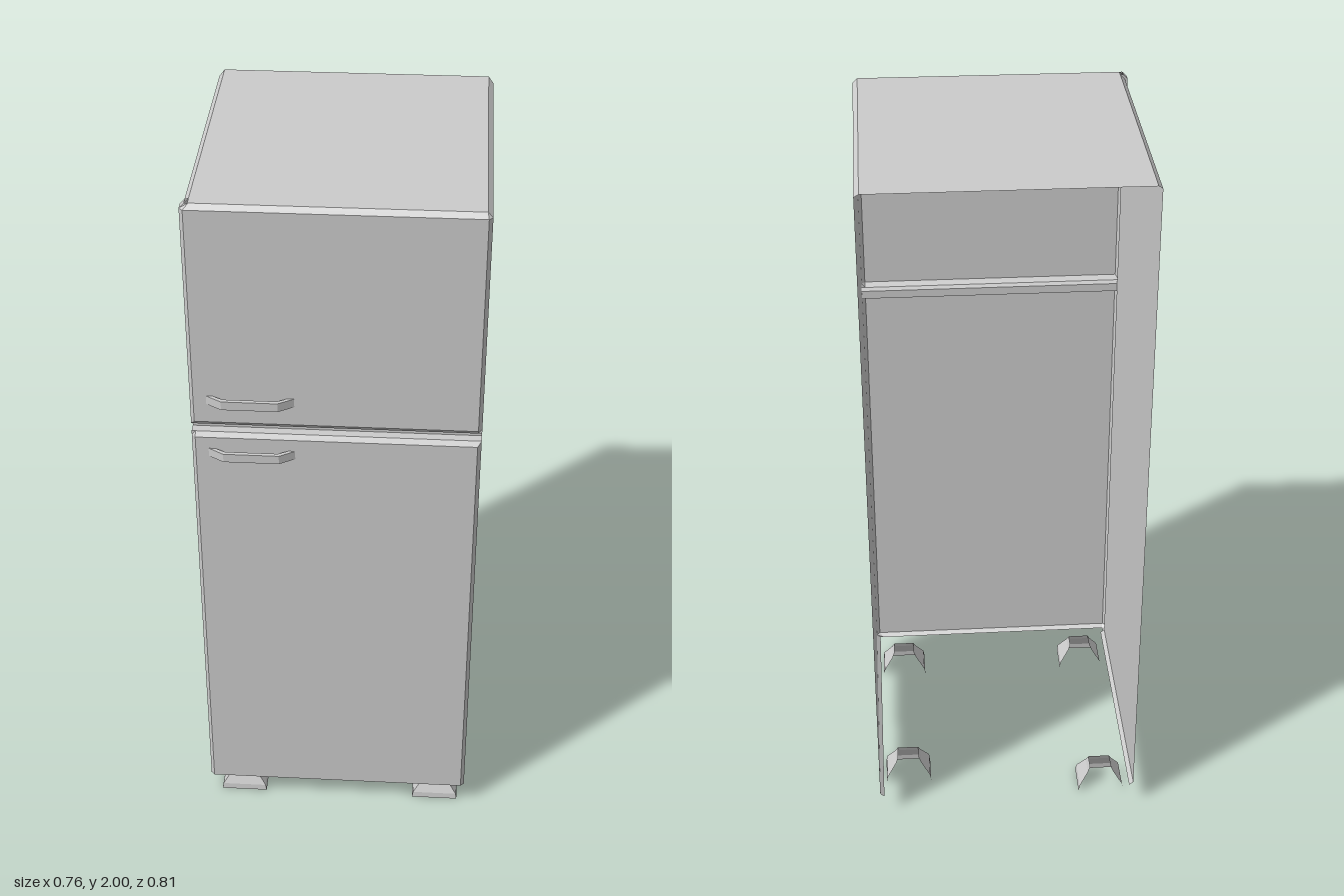
import * as THREE from 'three';

const material = new THREE.MeshStandardMaterial({ color: 0xcccccc, side: THREE.DoubleSide, flatShading: true });

// Surface through rows of points; each row has the same point count.
function skin(name, rows) {
  const pos = [];
  for (let j = 0; j < rows.length - 1; j++) {
    for (let i = 0; i < rows[j].length - 1; i++) {
      const a = rows[j][i], b = rows[j][i + 1], c = rows[j + 1][i + 1], d = rows[j + 1][i];
      pos.push(...a, ...b, ...c, ...a, ...c, ...d);
    }
  }
  const geo = new THREE.BufferGeometry();
  geo.setAttribute('position', new THREE.Float32BufferAttribute(pos, 3));
  geo.computeVertexNormals();
  const mesh = new THREE.Mesh(geo, material);
  mesh.name = name;
  return mesh;
}

// Sides and doors: an open U-shaped plan, bevelled at top and bottom.
const BACK = -0.397;
const plan = [
  [-0.372, BACK], [-0.372, 0.345], [-0.38, 0.345], [-0.38, 0.37], [-0.37, 0.38],
  [0.368, 0.38], [0.378, 0.37], [0.378, 0.345], [0.378, BACK],
];

function ring(y, inset, zMax, back = BACK) {
  return plan.map(([x, z]) => [
    x - Math.sign(x) * inset,
    y,
    z === BACK ? back : Math.min(z, zMax),
  ]);
}

function cabinet() {
  return skin('cabinetShell', [
    ring(0.07, 0.012, 0.368),
    ring(0.08, 0, 0.38),
    // groove between the doors
    ring(1.32, 0, 0.38),
    ring(1.333, 0, 0.37),
    ring(1.333, 0, 0.345),
    ring(1.357, 0, 0.345),
    ring(1.357, 0, 0.37),
    ring(1.37, 0, 0.38),
    // upper door to the top bevel
    ring(1.987, 0, 0.38),
    ring(2, 0.013, 0.367, -0.41),
  ]);
}

function topPanel() {
  return skin('topPanel', [
    [[-0.359, 2, 0.367], [0.365, 2, 0.367]],
    [[-0.359, 2, -0.41], [0.365, 2, -0.41]],
  ]);
}

// Bent bar handle, drawn in plan and extruded upward.
function handle(name, y) {
  const outline = [
    [-0.336, 0.38], [-0.295, 0.405], [-0.149, 0.405], [-0.108, 0.38],
    [-0.126, 0.38], [-0.152, 0.394], [-0.292, 0.394], [-0.318, 0.38],
  ];
  const shape = new THREE.Shape(outline.map(([x, z]) => new THREE.Vector2(x, -z)));
  const geo = new THREE.ExtrudeGeometry(shape, { depth: 0.025, bevelEnabled: false });
  geo.rotateX(-Math.PI / 2);
  const mesh = new THREE.Mesh(geo, material);
  mesh.name = name;
  mesh.position.y = y - 0.0125;
  return mesh;
}

// Hollow tapered foot with a low upright rim, open at the back and below.
function foot(name, x, z) {
  const level = (y, w, d) => [[-w, y, -d], [-w, y, d], [w, y, d], [w, y, -d]];
  const mesh = skin(name, [
    level(0, 0.067, 0.05),
    level(0.018, 0.064, 0.048),
    level(0.055, 0.038, 0.03),
    level(0.07, 0.031, 0.024),
  ]);
  mesh.position.set(x, 0, z);
  return mesh;
}

export function createModel() {
  const group = new THREE.Group();
  group.name = 'refrigerator';
  group.add(
    cabinet(),
    topPanel(),
    handle('upperHandle', 1.438),
    handle('lowerHandle', 1.273),
    foot('frontRightFoot', -0.284, 0.306),
    foot('frontLeftFoot', 0.291, 0.306),
    foot('backRightFoot', -0.284, -0.287),
    foot('backLeftFoot', 0.291, -0.208),
  );
  return group;
}
